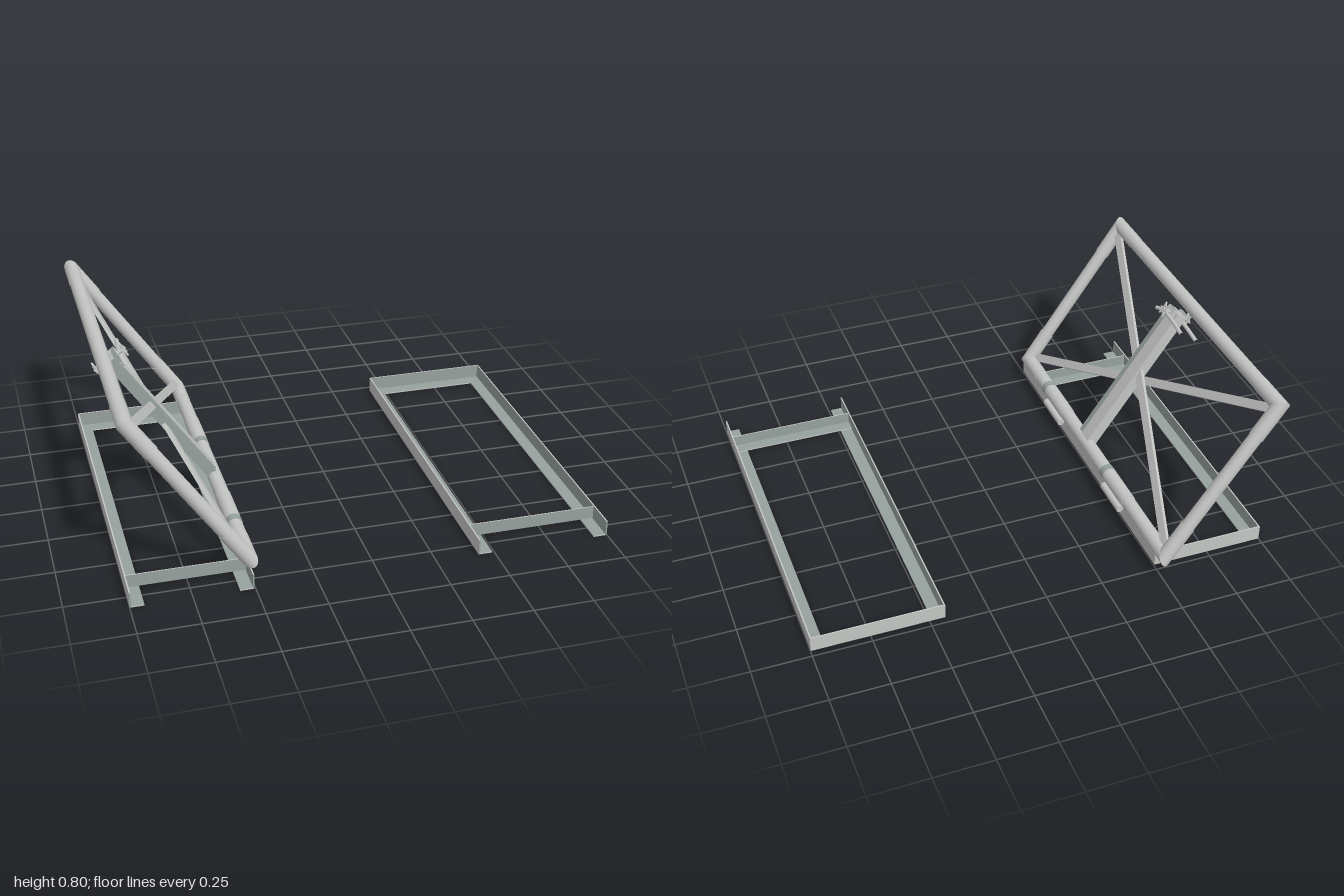
import * as THREE from 'three';

const steel = new THREE.MeshStandardMaterial({ color: 0xc4c6c4 });
steel.name = 'light steel';
const inner = new THREE.MeshStandardMaterial({ color: 0x96a19e });
inner.name = 'grey green steel';

function add(parent, name, geometry, material = steel) {
  const mesh = new THREE.Mesh(geometry, material);
  mesh.name = name;
  parent.add(mesh);
  return mesh;
}

// Box from limits; greenFaces lists face indices (+x -x +y -y +z -z) in the inner colour
function box(parent, name, [x0, x1], [y0, y1], [z0, z1], greenFaces = []) {
  const mats = [0, 1, 2, 3, 4, 5].map(i => (greenFaces.includes(i) ? inner : steel));
  const mesh = add(parent, name, new THREE.BoxGeometry(x1 - x0, y1 - y0, z1 - z0), mats);
  mesh.position.set((x0 + x1) / 2, (y0 + y1) / 2, (z0 + z1) / 2);
  return mesh;
}

// Ground frame of angle bars, open at the front
function groundFrame(name, x0, x1) {
  const g = new THREE.Group();
  g.name = name;
  const t = 0.006, w = 0.058, h = 0.067, back = -0.72, front = 0.823;
  box(g, 'rightWall', [x0, x0 + t], [0, h], [back, front], [0, 4]);
  box(g, 'leftWall', [x1 - t, x1], [0, h], [back, front], [1, 4]);
  box(g, 'backWall', [x0 + t, x1 - t], [0, h], [back, back + t], [4]);
  box(g, 'rightFlange', [x0 + t, x0 + w], [0, t], [back + t, front], [2]);
  box(g, 'leftFlange', [x1 - w, x1 - t], [0, t], [back + t, front], [2]);
  box(g, 'backFlange', [x0 + w, x1 - w], [0, t], [back + t, back + w + 0.005], [2]);
  box(g, 'crossbarFlange', [x0 + t, x1 - t], [t + 0.003, 2 * t + 0.003], [0.64, 0.69], [2]);
  box(g, 'crossbarWall', [x0 + t, x1 - t], [t + 0.003, h - 0.003], [0.69, 0.695], [4, 5]);
  return g;
}

// Straight pipe along y or z; chosen ends are cut at 45 degrees for mitred corners
function pipe(parent, name, axis, r, from, to, across, out, cutFrom, cutTo, material = steel) {
  const geo = new THREE.CylinderGeometry(r, r, to - from, 24);
  const p = geo.attributes.position;
  const s = axis === 'z' ? -out : out;
  for (let i = 0; i < p.count; i++) {
    const y = p.getY(i);
    if (y > 0 && cutTo) p.setY(i, y + s * p.getZ(i));
    if (y < 0 && cutFrom) p.setY(i, y - s * p.getZ(i));
  }
  if (axis === 'z') geo.rotateX(Math.PI / 2);
  const mesh = add(parent, name, geo, material);
  const mid = (from + to) / 2;
  if (axis === 'z') mesh.position.set(0, across, mid);
  else mesh.position.set(0, mid, across);
}

function tiltedFrame() {
  const g = new THREE.Group();
  g.name = 'tiltedFrame';
  g.position.set(-0.512, 0.109, 0);
  g.rotation.z = 0.606;
  const H = 0.8, Z0 = -0.793, Z1 = 0.764, r = 0.0295, R = 0.0325, S = 0.16;

  // Pipe rectangle with wider corner sleeves
  for (const [y, out] of [[0, -1], [H, 1]]) {
    pipe(g, 'longPipe', 'z', 0.031, Z0, Z1, y, out, true, true);
    pipe(g, 'cornerSleeve', 'z', R, Z0, Z0 + S, y, out, true, false);
    pipe(g, 'cornerSleeve', 'z', R, Z1 - S, Z1, y, out, false, true);
  }
  for (const [z, out] of [[Z0, -1], [Z1, 1]]) {
    pipe(g, 'sidePipe', 'y', r, 0, H, z, out, true, true);
    pipe(g, 'cornerSleeve', 'y', R, 0, S, z, out, true, false);
    pipe(g, 'cornerSleeve', 'y', R, H - S, H, z, out, false, true);
  }

  // Diagonal braces
  for (const s of [1, -1]) {
    const dy = s * 0.74, dz = Z1 - Z0 - 0.05;
    const brace = add(g, 'brace', new THREE.BoxGeometry(0.016, 0.038, Math.hypot(dy, dz)));
    brace.position.set(s * 0.008, H / 2, (Z0 + Z1) / 2);
    brace.rotation.x = Math.atan2(-dy, dz);
  }

  // Centre post
  box(g, 'post', [-0.025, 0.025], [0.01, 0.735], [0.012, 0.08], [4]);
  box(g, 'postSide', [-0.022, 0.022], [0.01, 0.735], [0.08, 0.11], [0, 1, 4]);

  // Clamp: bolt, star knobs and long handles on both faces
  const clamp = new THREE.Group();
  clamp.name = 'clamp';
  clamp.position.set(0, 0.72, 0.058);
  g.add(clamp);
  const bolt = add(clamp, 'bolt', new THREE.CylinderGeometry(0.008, 0.008, 0.16, 12));
  bolt.rotation.z = Math.PI / 2;
  const star = new THREE.Shape();
  for (let i = 0; i < 12; i++) {
    const a = (i * Math.PI) / 6, q = i % 2 ? 0.015 : 0.035;
    star[i ? 'lineTo' : 'moveTo'](q * Math.cos(a), q * Math.sin(a));
  }
  for (const s of [1, -1]) {
    const knob = add(clamp, 'starKnob', new THREE.ExtrudeGeometry(star, { depth: 0.008, bevelEnabled: false }));
    knob.rotation.y = Math.PI / 2;
    knob.position.x = s * 0.07 - 0.004;
    box(clamp, 'clampPad', [s * 0.033 - 0.008, s * 0.033 + 0.008], [-0.025, 0.025], [-0.028, 0.028], [2, 4]);
    const curve = new THREE.CatmullRomCurve3([
      new THREE.Vector3(s * 0.046, -0.03, 0.08),
      new THREE.Vector3(s * 0.043, -0.016, 0.03),
      new THREE.Vector3(s * 0.043, -0.016, -0.05),
      new THREE.Vector3(s * 0.046, -0.025, -0.165),
    ]);
    add(clamp, 'handle', new THREE.TubeGeometry(curve, 16, 0.009, 10));
  }

  // Hinge sleeves around the lower pipe
  for (const z of [0.27, -0.42]) {
    pipe(g, 'hingeSleeve', 'z', 0.0335, z, z + 0.205, 0, 0, false, false);
    pipe(g, 'hingeBand', 'z', 0.0335, z + 0.205, z + 0.24, 0, 0, false, false, inner);
  }
  return g;
}

export function createModel() {
  const model = new THREE.Group();
  model.name = 'hingedFrameSet';
  model.add(groundFrame('rightGroundFrame', -1, -0.505));
  model.add(groundFrame('leftGroundFrame', 0.432, 0.998));
  model.add(tiltedFrame());
  // Hinge pins beside the ground frame
  for (const z of [0.365, -0.315]) {
    const pin = add(model, 'hingePin', new THREE.CylinderGeometry(0.016, 0.016, 0.18, 16));
    pin.rotation.x = Math.PI / 2;
    pin.position.set(-0.482, 0.066, z);
  }
  return model;
}
